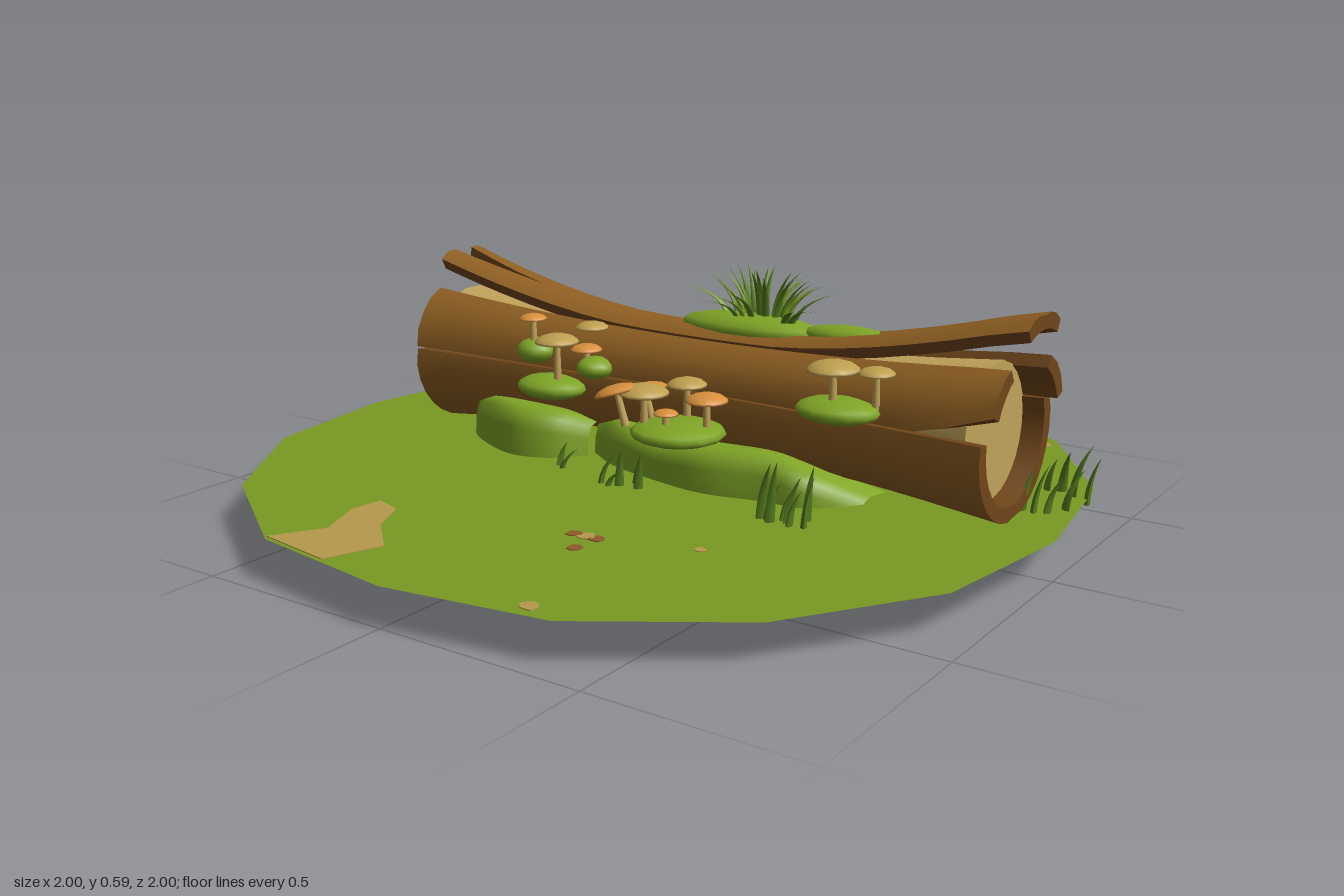
import * as THREE from 'three';
import { toCreasedNormals } from 'three/addons/utils/BufferGeometryUtils.js';

const mat = (name, color, side = THREE.FrontSide) => {
  const m = new THREE.MeshStandardMaterial({ color, side });
  m.name = name;
  return m;
};

export function createModel() {
  const root = new THREE.Group();
  root.name = 'fallenLog';
  const ground = mat('meadow green', 0x7a9a22, THREE.DoubleSide);
  const dirt = mat('dry earth', 0xb5994c);
  const pebble = mat('brown earth', 0x8f5a2a);
  const bark = mat('bark', 0x8f5f22);
  const barkEdge = mat('dark bark', 0x70461a);
  const wood = mat('heartwood', 0xc0a25a);
  const moss = mat('moss', 0x7fa526, THREE.DoubleSide);
  const grass = mat('grass', 0x557d1f);
  const orange = mat('orange cap', 0xd8903c);
  const tan = mat('tan cap', 0xbfa050);

  const GY = 0.1;
  const add = (parent, name, geo, material, x = 0, y = 0, z = 0) => {
    const m = new THREE.Mesh(geo, material);
    m.name = name;
    m.position.set(x, y, z);
    parent.add(m);
    return m;
  };
  const group = (name) => {
    const g = new THREE.Group();
    g.name = name;
    root.add(g);
    return g;
  };
  let seed = 7;
  const rnd = () => (seed = (seed * 16807) % 2147483647) / 2147483647;

  // Meadow: flat sixteen-sided sheet
  const rim = [];
  for (let i = 0; i < 16; i++) {
    const a = (i * Math.PI) / 8, r = i % 4 ? 1.02 : 1;
    rim.push(new THREE.Vector2(r * Math.cos(a), r * Math.sin(a)));
  }
  add(root, 'meadow', new THREE.ShapeGeometry(new THREE.Shape(rim)).rotateX(-Math.PI / 2), ground, 0, GY, 0);

  // Earth patches: thin plates showing on both sides of the meadow
  const patches = group('earthPatches');
  const patch = (pts, material) => {
    const s = new THREE.Shape(pts.map(([x, z]) => new THREE.Vector2(x, -z)));
    const g = new THREE.ExtrudeGeometry(s, { depth: 0.004, bevelEnabled: false });
    add(patches, 'earthPatch', g.rotateX(-Math.PI / 2), material, 0, GY - 0.002, 0);
  };
  patch([[-0.37, 0.62], [-0.3, 0.64], [-0.25, 0.74], [-0.15, 0.83], [-0.17, 0.88], [-0.2, 0.96], [-0.4, 0.93], [-0.33, 0.82], [-0.38, 0.7]], dirt);
  patch([[-0.83, -0.46], [-0.78, -0.45], [-0.74, -0.35], [-0.75, -0.23], [-0.81, -0.24], [-0.82, -0.32], [-0.87, -0.37]], dirt);
  patch([[-0.77, -0.69], [-0.74, -0.66], [-0.75, -0.59], [-0.82, -0.57]], dirt);
  patch([[0.43, -0.42], [0.47, -0.46], [0.54, -0.42], [0.61, -0.3], [0.58, -0.27], [0.52, -0.3], [0.5, -0.37]], dirt);
  const dot = (x, z, r, material) => {
    const pts = [];
    for (let i = 0; i < 8; i++) {
      const q = r * (0.8 + 0.35 * rnd()), a = (i * Math.PI) / 4;
      pts.push([x + q * Math.cos(a), z + q * Math.sin(a)]);
    }
    patch(pts, material);
  };
  [[0.44, -0.51, 0.016], [0.7, -0.67, 0.024], [0.2, -0.82, 0.022], [0.185, -0.54, 0.02], [0.16, 0.54, 0.022],
    [0.31, 0.91, 0.022], [0.41, 0.47, 0.013]].forEach(([x, z, r]) => dot(x, z, r, dirt));
  [[0.2, -0.855], [0.205, -0.785], [0.05, -0.73], [0.205, -0.56], [0.165, -0.53], [0.3, -0.49], [0.3, -0.44],
    [0.13, 0.54], [0.19, 0.54], [0.185, 0.61]].forEach(([x, z], i) => dot(x, z, i === 5 || i === 6 ? 0.01 : 0.018, pebble));

  // Log: curved planks of bark around a waisted core
  const CY = 0.295, CZ = -0.075;
  const radius = (x) => 0.148 + 0.047 * Math.min(1, ((x - 0.07) / 0.79) ** 2);
  const log = group('log');
  const plank = (name, a0, a1, x0, x1, o = {}) => {
    const NX = 18, NA = Math.max(3, Math.round((a1 - a0) / 13)), T = 0.036;
    const outer = [], edge = [];
    const rings = [];
    for (let i = 0; i <= NX; i++) {
      const x = x0 + ((x1 - x0) * i) / NX;
      const sL = Math.max(0, (-0.48 - x) / 0.24), sR = Math.max(0, (x - 0.72) / 0.14);
      const lo = a0 + (o.loL || 0) * sL + (o.loR || 0) * sR;
      const hi = a1 - (o.hiL || 0) * sL;
      const lift = (o.lift || 0) * Math.max(0, (Math.abs(x - 0.07) - 0.2) / 0.6) ** 1.5;
      const ring = [];
      for (let k = 0; k < 2 * (NA + 1); k++) {
        const isIn = k > NA, j = isIn ? 2 * NA + 1 - k : k;
        const a = THREE.MathUtils.degToRad(lo + ((hi - lo) * j) / NA);
        const bevel = j === 0 || j === NA ? 0.006 : 0;
        const r = radius(x) + (o.out || 0) - (isIn ? T : bevel);
        ring.push([x, CY + r * Math.sin(a) + lift, CZ + r * Math.cos(a)]);
      }
      rings.push(ring);
    }
    const quad = (to, a, b, c, d) => to.push(...a, ...b, ...c, ...a, ...c, ...d);
    const M = 2 * (NA + 1);
    for (let i = 0; i < NX; i++) for (let k = 0; k < M; k++) {
      const n = (k + 1) % M, p = rings[i], q = rings[i + 1];
      quad(k < NA ? outer : edge, p[k], q[k], q[n], p[n]);
    }
    const p = rings[0], q = rings[NX];
    for (let j = 0; j < NA; j++) {
      quad(edge, p[j], p[j + 1], p[M - 2 - j], p[M - 1 - j]);
      quad(edge, q[M - 1 - j], q[M - 2 - j], q[j + 1], q[j]);
    }
    [[outer, bark, ''], [edge, barkEdge, 'Edges']].forEach(([arr, m, suffix]) => {
      const g = new THREE.BufferGeometry();
      g.setAttribute('position', new THREE.Float32BufferAttribute(arr, 3));
      add(log, name + suffix, toCreasedNormals(g, 0.5), m);
    });
  };
  plank('lowerFrontPlank', -95, 6, -0.72, 0.87);
  plank('upperFrontPlank', 8, 61, -0.72, 0.89, { loR: 14, out: 0.003 });
  plank('topFrontProng', 64, 91, -0.72, 0.92, { hiL: 9, lift: 0.072, out: 0.003 });
  plank('topBackProng', 91, 118, -0.72, 0.92, { loL: 9, lift: 0.072, out: 0.003 });
  plank('upperBackPlank', 121, 160, -0.72, 0.9, { out: 0.004 });
  plank('lowerBackPlank', 161, 265, -0.72, 0.87);

  const corePts = [new THREE.Vector2(0, -0.69)];
  for (let i = 0; i <= 10; i++) {
    const x = -0.69 + 0.151 * i;
    corePts.push(new THREE.Vector2(radius(x) - 0.03, x));
  }
  corePts.push(new THREE.Vector2(0, 0.82));
  const core = toCreasedNormals(new THREE.LatheGeometry(corePts, 18), 0.6);
  add(log, 'heartwoodCore', core.rotateZ(-Math.PI / 2), wood, 0, CY, CZ);

  // Moss banks: cross-sections swept along x, each [x, front z, top y]
  const bank = (name, sections) => {
    const N = 24, pos = [], idx = [];
    const curve = new THREE.CatmullRomCurve3(sections.map((s) => new THREE.Vector3(s[0], s[2], s[1])));
    for (let i = 0; i <= N; i++) {
      const { x, y: h, z: f } = curve.getPoint(i / N);
      const prof = [[0.01, f], [0.08, f + 0.005], [h * 0.78, f], [h * 0.94, f - 0.012], [h, f - 0.04], [h - 0.01, f - 0.12]];
      prof.forEach(([y, z]) => pos.push(x, y, z));
      if (i < N) for (let k = 0; k < 5; k++) {
        const a = i * 6 + k, b = a + 6;
        idx.push(a, b, b + 1, a, b + 1, a + 1);
      }
    }
    const g = new THREE.BufferGeometry();
    g.setAttribute('position', new THREE.Float32BufferAttribute(pos, 3));
    g.setIndex(idx);
    g.computeVertexNormals();
    add(root, name, g, moss);
  };
  bank('leftMossBank', [[-0.61, -0.02, 0.12], [-0.57, 0.06, 0.19], [-0.48, 0.12, 0.215], [-0.36, 0.16, 0.22], [-0.26, 0.13, 0.21], [-0.2, 0.06, 0.18]]);
  bank('rightMossBank', [[-0.2, 0.03, 0.18], [-0.1, 0.09, 0.205], [0.05, 0.13, 0.19], [0.2, 0.15, 0.2], [0.35, 0.12, 0.2], [0.45, 0.11, 0.17], [0.55, 0.02, 0.11]]);

  // Moss cushions on the log: [x, y, z, rx, ry, rz]
  const cushions = group('mossCushions');
  [[-0.345, 0.355, 0.08, 0.05, 0.032, 0.05], [-0.16, 0.335, 0.08, 0.046, 0.028, 0.05],
    [-0.28, 0.275, 0.1, 0.095, 0.03, 0.075], [0.14, 0.24, 0.16, 0.115, 0.028, 0.11],
    [0.53, 0.342, 0.11, 0.1, 0.028, 0.08], [0.18, 0.445, -0.1, 0.2, 0.036, 0.075],
    [0.45, 0.458, -0.09, 0.12, 0.026, 0.045]].forEach(([x, y, z, rx, ry, rz]) => {
    add(cushions, 'mossCushion', new THREE.SphereGeometry(1, 14, 8).scale(rx, ry, rz), moss, x, y, z);
  });

  // Mushrooms: [x, z, cap radius, top y, base y, cap material, lean]
  const mushrooms = group('mushrooms');
  [[-0.345, 0.09, 0.035, 0.45, 0.37, orange], [-0.25, 0.115, 0.055, 0.415, 0.29, tan],
    [-0.19, 0.075, 0.04, 0.39, 0.33, orange], [-0.21, 0.025, 0.042, 0.435, 0.34, tan],
    [0.015, 0.12, 0.055, 0.335, 0.24, orange, 0.25], [0, 0.215, 0.055, 0.35, 0.25, orange, 0.3],
    [0.125, 0.1, 0.048, 0.355, 0.24, tan], [0.065, 0.19, 0.06, 0.35, 0.25, tan],
    [0.21, 0.145, 0.05, 0.34, 0.25, orange], [0.13, 0.195, 0.03, 0.3, 0.25, orange],
    [0.525, 0.125, 0.06, 0.457, 0.35, tan], [0.61, 0.085, 0.042, 0.445, 0.35, tan]].forEach(([x, z, r, top, base, capMat, lean = 0]) => {
    const g = new THREE.Group(), h = top - base, c = 0.4 * r;
    g.name = 'mushroom';
    add(g, 'stem', new THREE.CylinderGeometry(0.007, 0.01, h - c * 0.5, 8), wood, 0, (h - c * 0.5) / 2, 0);
    const prof = [[0, 0.3], [0.7, 0.1], [1, 0], [0.97, 0.25], [0.75, 0.65], [0.4, 0.92], [0, 1]];
    const lathe = new THREE.LatheGeometry(prof.map(([a, b]) => new THREE.Vector2(a * r, b * c)), 14);
    add(g, 'cap', lathe, capMat, 0, h - c, 0);
    g.position.set(x + lean * h, base, z);
    g.rotation.z = lean;
    mushrooms.add(g);
  });

  // Grass: cones bent by a rule, set in tufts
  const blades = group('grass');
  const blade = (x, y, z, h, bend, turn, material = grass, w = 0.013) => {
    const g = new THREE.ConeGeometry(w, h, 5, 6).translate(0, h / 2, 0);
    const p = g.attributes.position;
    for (let i = 0; i < p.count; i++) {
      const t = p.getY(i) / h;
      const belly = 1 + 0.9 * t;
      p.setXYZ(i, p.getX(i) * belly * 0.6 + bend * t * t, p.getY(i) - Math.abs(bend) * 0.35 * t * t, p.getZ(i) * belly);
    }
    g.computeVertexNormals();
    add(blades, 'blade', g, material, x, y, z).rotation.y = turn;
  };
  const tuft = (x, z, n, spreadX, spreadZ, h) => {
    for (let i = 0; i < n; i++) {
      const u = n > 1 ? i / (n - 1) - 0.5 : 0;
      blade(x + u * spreadX, GY - 0.015, z + (rnd() - 0.5) * spreadZ, h * (0.6 + 0.4 * rnd()), 0.02 + 0.03 * rnd(), rnd() * 2 - 1);
    }
  };
  tuft(0.9, -0.33, 4, 0.1, 0.03, 0.16);
  tuft(0.9, -0.19, 4, 0.08, 0.08, 0.17);
  tuft(0.46, 0.21, 8, 0.11, 0.09, 0.18);
  tuft(0.01, 0.2, 5, 0.1, 0.06, 0.12);
  tuft(-0.2, 0.17, 2, 0.02, 0.02, 0.1);
  for (let i = 0; i < 30; i++) {
    const a = i * 2.4, q = 0.25 + 0.75 * rnd();
    const x = 0.2 + 0.11 * q * Math.cos(a), z = -0.11 - 0.04 * q * Math.sin(a);
    blade(x, 0.455, z, 0.18 - 0.08 * q, 0.03 + 0.08 * q, a, i % 4 ? grass : moss, 0.011);
  }
  return root;
}
